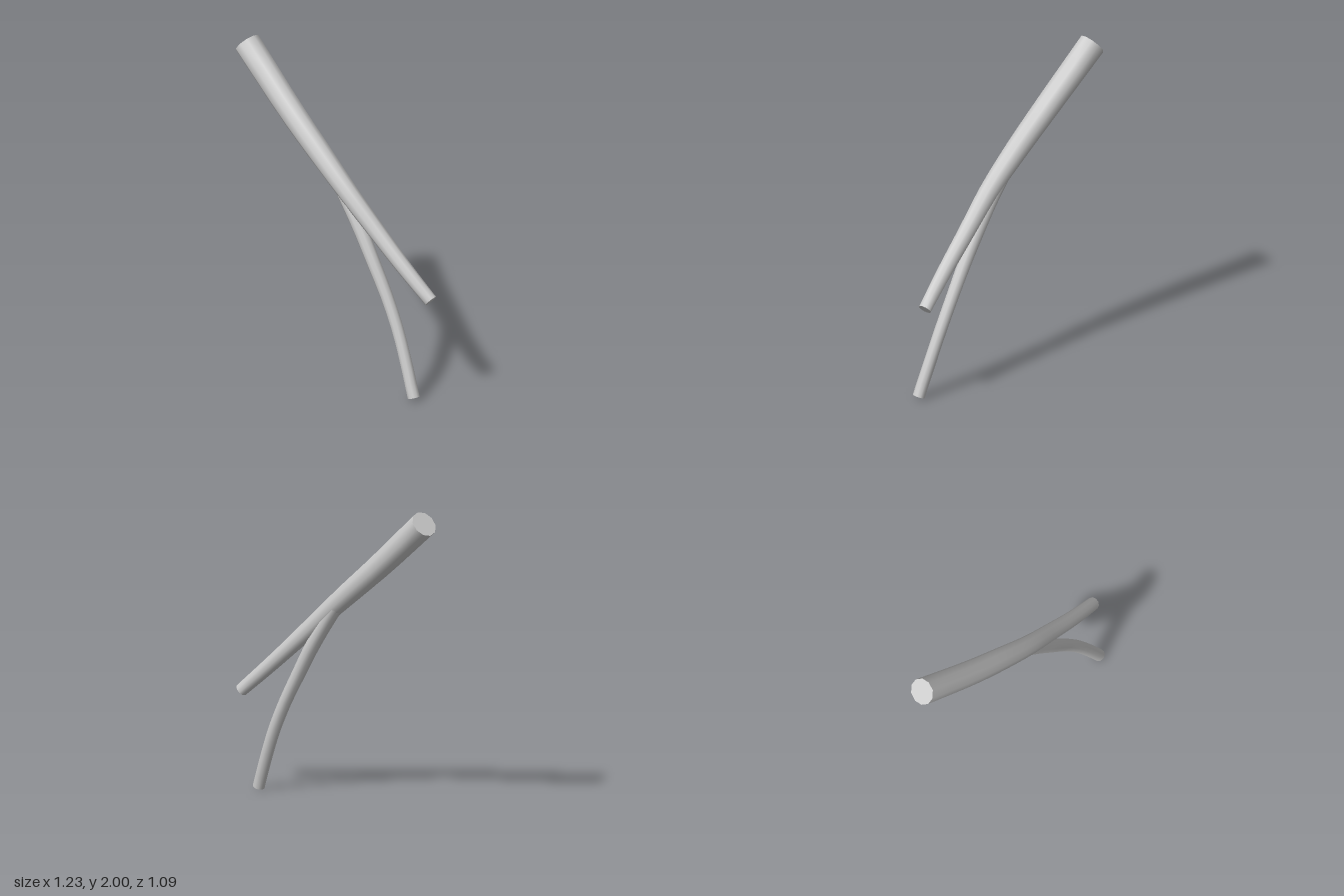
import * as THREE from 'three';

const SIDES = 10;
const STEPS = 16;

// Tapered limb swept along a smooth curve; each knot is [x, y, z, radius]
function limb(name, knots, material) {
  const curve = new THREE.CatmullRomCurve3(knots.map(k => new THREE.Vector3(k[0], k[1], k[2])));
  const up = new THREE.Vector3(0, 1, 0);
  const positions = [];
  const index = [];
  const rings = [];

  // Rings of points along the curve
  for (let i = 0; i <= STEPS; i++) {
    const t = i / STEPS;
    const f = t * (knots.length - 1);
    const k = Math.min(Math.floor(f), knots.length - 2);
    const radius = THREE.MathUtils.lerp(knots[k][3], knots[k + 1][3], f - k);
    const centre = curve.getPoint(t);
    const along = curve.getTangent(t);
    const u = new THREE.Vector3().crossVectors(along, up).normalize();
    const v = new THREE.Vector3().crossVectors(along, u);
    const ring = [];
    for (let j = 0; j < SIDES; j++) {
      const a = (j + 0.5) / SIDES * Math.PI * 2;
      ring.push(centre.clone()
        .addScaledVector(u, Math.cos(a) * radius)
        .addScaledVector(v, Math.sin(a) * radius));
    }
    rings.push({ centre, ring });
    ring.forEach(p => positions.push(p.x, p.y, p.z));
  }

  // Bark between neighbouring rings
  for (let i = 0; i < STEPS; i++) {
    for (let j = 0; j < SIDES; j++) {
      const a = i * SIDES + j;
      const b = i * SIDES + (j + 1) % SIDES;
      index.push(a, b, a + SIDES, b, b + SIDES, a + SIDES);
    }
  }

  // Flat sawn ends with their own vertices, so the rims stay sharp
  for (const [end, flip] of [[rings[0], true], [rings[STEPS], false]]) {
    const c = positions.length / 3;
    [end.centre, ...end.ring].forEach(p => positions.push(p.x, p.y, p.z));
    for (let j = 0; j < SIDES; j++) {
      const a = c + 1 + j;
      const b = c + 1 + (j + 1) % SIDES;
      index.push(c, flip ? b : a, flip ? a : b);
    }
  }

  const geometry = new THREE.BufferGeometry();
  geometry.setAttribute('position', new THREE.Float32BufferAttribute(positions, 3));
  geometry.setIndex(index);
  geometry.computeVertexNormals();
  const mesh = new THREE.Mesh(geometry, material);
  mesh.name = name;
  return mesh;
}

export function createModel() {
  const group = new THREE.Group();
  group.name = 'forkedBranch';
  const wood = new THREE.MeshStandardMaterial({ color: 0xcccccc });

  // Thick main branch, from the upper sawn end to its tip
  group.add(limb('mainBranch', [
    [-0.55, 1.938, -0.478, 0.084],
    [-0.275, 1.6, -0.2, 0.077],
    [-0.1, 1.4, -0.037, 0.071],
    [0.075, 1.2, 0.115, 0.061],
    [0.25, 1.0, 0.24, 0.053],
    [0.42, 0.81, 0.36, 0.047],
    [0.583, 0.637, 0.463, 0.041],
  ], wood));

  // Thinner side branch, growing out of the underside
  group.add(limb('sideBranch', [
    [-0.035, 1.34, 0.0, 0.045],
    [0.052, 1.18, 0.085, 0.046],
    [0.143, 1.0, 0.165, 0.045],
    [0.23, 0.8, 0.245, 0.042],
    [0.315, 0.6, 0.318, 0.039],
    [0.385, 0.4, 0.387, 0.038],
    [0.438, 0.2, 0.451, 0.038],
    [0.48, 0.018, 0.508, 0.038],
  ], wood));

  return group;
}
